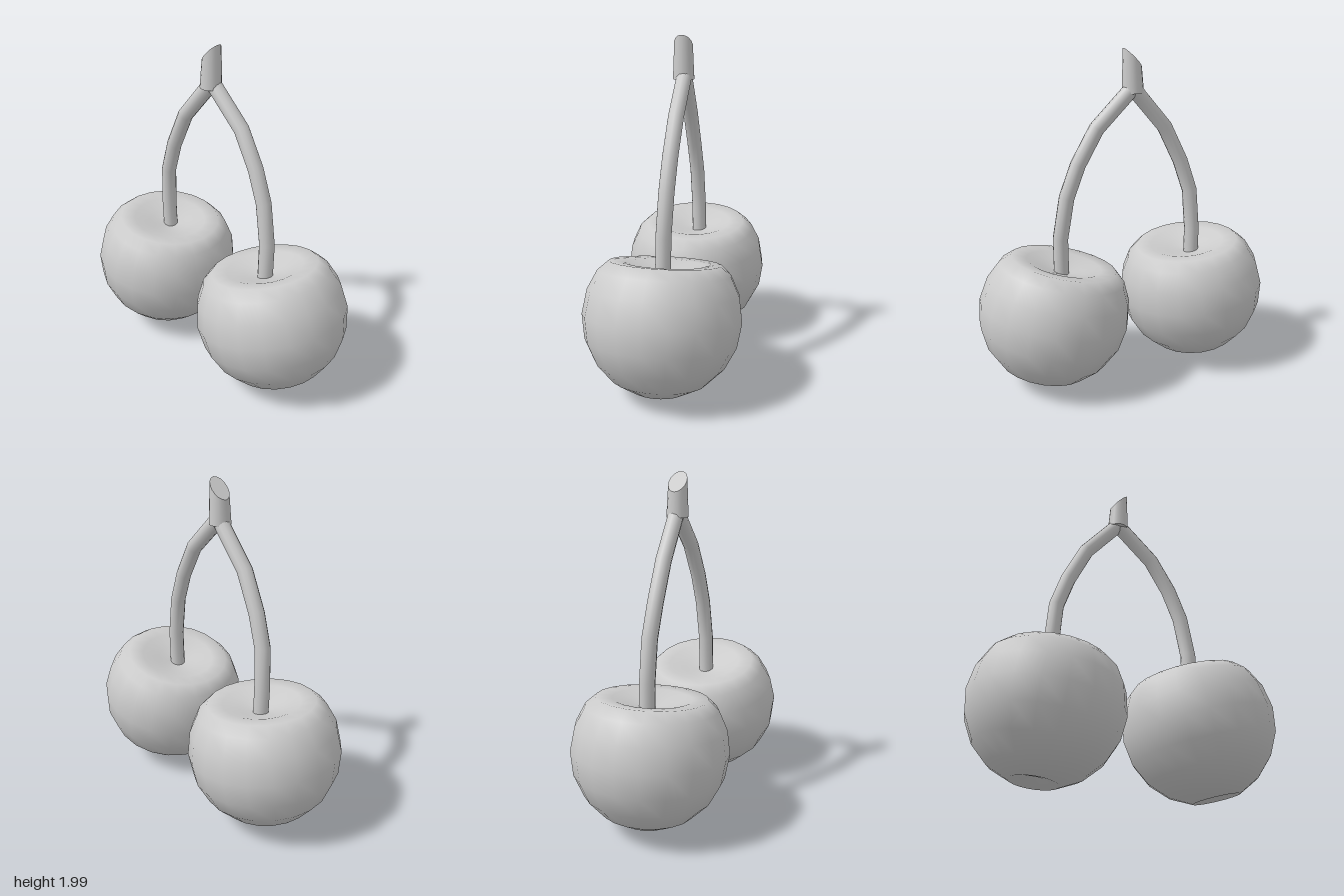
import * as THREE from 'three';

const material = new THREE.MeshStandardMaterial({ color: 0xcccccc });

function addMesh(group, name, geometry) {
  const mesh = new THREE.Mesh(geometry, material);
  mesh.name = name;
  group.add(mesh);
  return mesh;
}

// Fruit: a sphere profile in 18 degree steps, dimpled at both ends
function fruitGeometry() {
  const R = 0.455;
  const points = [[0, -0.395], [0.07, -0.417]];
  for (let deg = -72; deg <= 18; deg += 18) {
    const a = THREE.MathUtils.degToRad(deg);
    points.push([R * Math.cos(a), R * Math.sin(a)]);
  }
  points.push([0.38, 0.25], [0.32, 0.305], [0.23, 0.298], [0.13, 0.262], [0, 0.235]);
  return new THREE.LatheGeometry(points.map(p => new THREE.Vector2(...p)), 20);
}

// Stem: a tube with one ring at each given point
function stemGeometry(points) {
  const curve = new THREE.CatmullRomCurve3(points.map(p => new THREE.Vector3(...p)));
  curve.getPointAt = (t, target) => curve.getPoint(t, target);
  curve.getTangentAt = (t, target) => curve.getTangent(t, target);
  return new THREE.TubeGeometry(curve, points.length - 1, 0.046, 12, false);
}

// Knob: a short cylinder whose top is cut at a slant
function knobGeometry() {
  const geometry = new THREE.CylinderGeometry(0.055, 0.064, 0.2, 16, 1);
  const pos = geometry.attributes.position;
  for (let i = 0; i < pos.count; i++) {
    if (pos.getY(i) > 0) {
      pos.setY(i, 0.1 + pos.getX(i));
      pos.setX(i, pos.getX(i) + 0.005);
    }
  }
  // Keep the smooth side normals and tilt only the cap normals
  const normal = geometry.attributes.normal;
  for (let i = 0; i < normal.count; i++) {
    if (normal.getY(i) > 0.9) normal.setXYZ(i, -Math.SQRT1_2, Math.SQRT1_2, 0);
  }
  return geometry;
}

export function createModel() {
  const group = new THREE.Group();
  group.name = 'cherryPair';

  // Two fruits leaning by different amounts
  const fruit = fruitGeometry();
  const rightFruit = addMesh(group, 'rightCherry', fruit);
  rightFruit.position.set(-0.467, 0.475, 0);
  rightFruit.rotation.z = THREE.MathUtils.degToRad(-7);
  const leftFruit = addMesh(group, 'leftCherry', fruit);
  leftFruit.position.set(0.463, 0.46, 0);
  leftFruit.rotation.z = THREE.MathUtils.degToRad(13);

  // Bent stems meeting at the knob
  addMesh(group, 'rightStem', stemGeometry([
    [-0.45, 0.65, -0.025], [-0.453, 0.87, -0.02], [-0.435, 1.12, -0.01], [-0.37, 1.31, -0.003],
    [-0.26, 1.53, 0], [-0.085, 1.73, -0.008], [-0.04, 1.79, -0.01],
  ]));
  addMesh(group, 'leftStem', stemGeometry([
    [0.41, 0.62, 0.01], [0.412, 0.91, 0.005], [0.37, 1.16, -0.003], [0.298, 1.35, -0.008],
    [0.182, 1.553, -0.013], [-0.01, 1.74, -0.012], [-0.06, 1.79, -0.01],
  ]));

  // Slanted knob joining the stems
  addMesh(group, 'knob', knobGeometry()).position.set(-0.05, 1.845, -0.005);
  return group;
}
